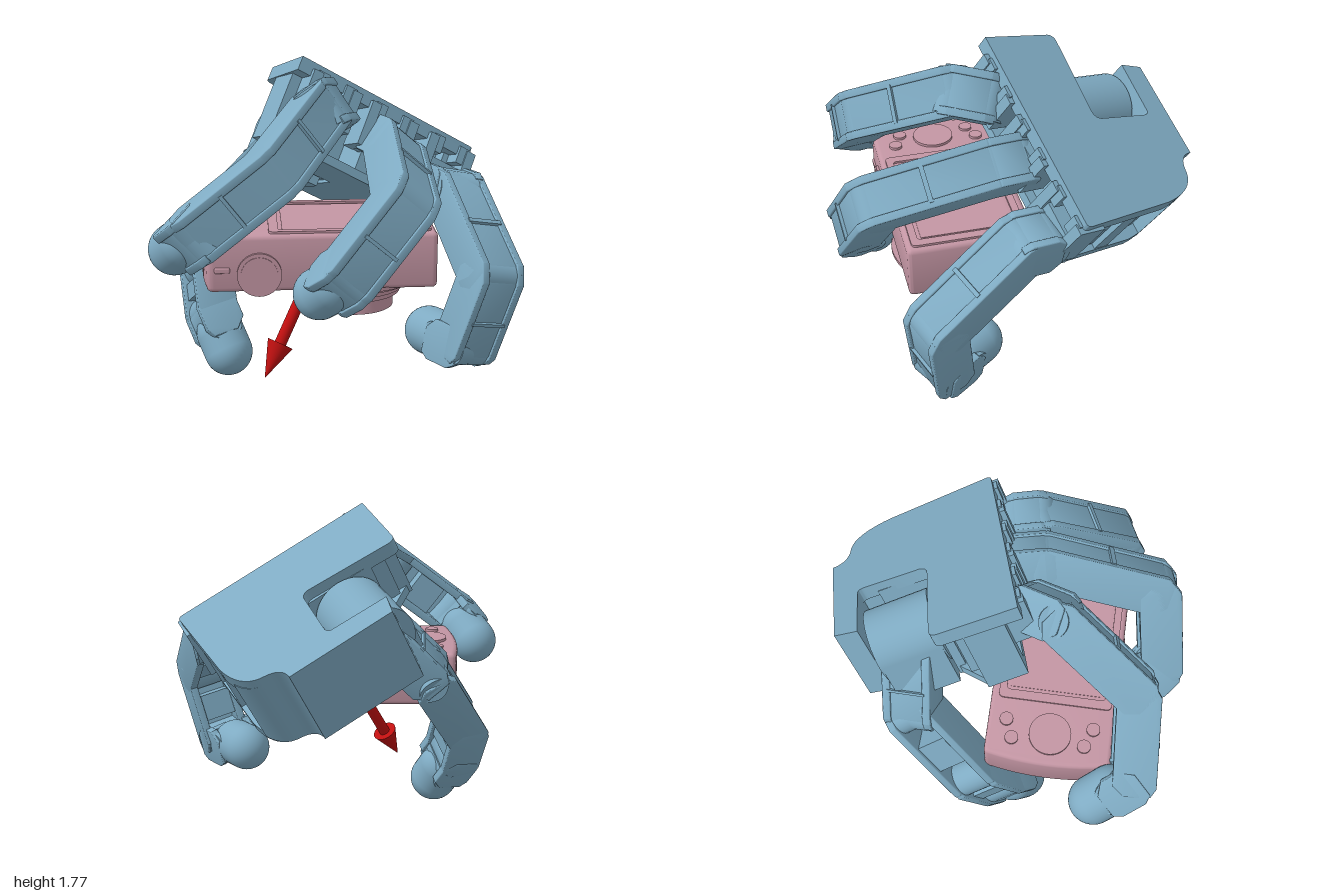
import * as THREE from 'three';
import { toCreasedNormals } from 'three/addons/utils/BufferGeometryUtils.js';
import { RoundedBoxGeometry } from 'three/addons/geometries/RoundedBoxGeometry.js';

const V = (x, y, z) => new THREE.Vector3(x, y, z);
const mat = (color) => new THREE.MeshStandardMaterial({ color, side: THREE.DoubleSide });
const BLUE = mat(0x7fabc3), PINK = mat(0xc496a4), RED = mat(0xc01010);

function add(parent, name, geo, material, x = 0, y = 0, z = 0) {
  const m = new THREE.Mesh(geo, material);
  m.name = name;
  m.position.set(x, y, z);
  parent.add(m);
  return m;
}

function group(parent, name) {
  const g = new THREE.Group();
  g.name = name;
  parent.add(g);
  return g;
}

// box given by its minimum and maximum corners
function span(parent, name, a, b, material = BLUE) {
  const geo = new THREE.BoxGeometry(b[0] - a[0], b[1] - a[1], b[2] - a[2]);
  return add(parent, name, geo, material, (a[0] + b[0]) / 2, (a[1] + b[1]) / 2, (a[2] + b[2]) / 2);
}

function extrude(shape, depth, bevel = 0) {
  const geo = new THREE.ExtrudeGeometry(shape, {
    depth: depth - 2 * bevel, bevelEnabled: bevel > 0, bevelSize: bevel, bevelOffset: -bevel,
    bevelThickness: bevel, bevelSegments: 3, curveSegments: 10,
  });
  geo.translate(0, 0, bevel);
  return toCreasedNormals(geo, 0.6);
}

function roundedRect(x0, y0, x1, y1, r) {
  const s = new THREE.Shape();
  s.moveTo(x0 + r, y0).lineTo(x1 - r, y0).quadraticCurveTo(x1, y0, x1, y0 + r);
  s.lineTo(x1, y1 - r).quadraticCurveTo(x1, y1, x1 - r, y1);
  s.lineTo(x0 + r, y1).quadraticCurveTo(x0, y1, x0, y1 - r);
  s.lineTo(x0, y0 + r).quadraticCurveTo(x0, y0, x0 + r, y0);
  return s;
}

// side profile of a link, cut back at the outer and inner corners
function linkProfile(z0, z1, y0, y1, cut) {
  return new THREE.Shape([[z0 + cut, y0], [z1 - cut, y0], [z1, y0 + cut], [z1, y1 - cut * 0.5],
    [z1 - cut * 0.8, y1], [z0 + cut * 0.8, y1], [z0, y1 - cut * 0.5], [z0, y0 + cut]]
    .map(([x, y]) => new THREE.Vector2(x, y)));
}

// hollow link from a to b: two cheeks, outer cover, motor block and hinge barrels
function link(parent, name, a, b, hinge, open = false) {
  const w = 0.27, t = 0.115, e = 0.06;
  const g = group(parent, name);
  const d = b.clone().sub(a), len = d.length();
  d.normalize();
  const hx = hinge.clone().addScaledVector(d, -hinge.dot(d)).normalize();
  g.quaternion.setFromRotationMatrix(new THREE.Matrix4().makeBasis(hx, d.clone().cross(hx), d));
  g.position.copy(a);
  const cheek = extrude(linkProfile(-e, len + e, -t, t, 0.06), 0.045, 0.006);
  cheek.rotateY(-Math.PI / 2);
  for (const x of [-w / 2 + 0.045, w / 2]) add(g, 'cheek', cheek, BLUE, x);
  if (!open) {
    const cover = extrude(linkProfile(-e + 0.008, len + e - 0.008, 0, t - 0.012, 0.06), w - 0.05);
    cover.rotateY(-Math.PI / 2);
    add(g, 'cover', cover, BLUE, w / 2 - 0.025);
    if (len > 0.3) span(g, 'coverRib', [-w / 2 + 0.03, t - 0.03, len * 0.52], [w / 2 - 0.03, t + 0.006, len * 0.56]);
  }
  span(g, 'motorBlock', [-w / 2 + 0.03, -t + 0.015, len * 0.32], [w / 2 - 0.03, t - 0.02, len * 0.68]);
  const barrel = new THREE.CylinderGeometry(0.1, 0.1, w - 0.03, 28);
  barrel.rotateZ(Math.PI / 2);
  for (const z of [0, len]) add(g, 'hingeBarrel', barrel, BLUE, 0, 0, z);
}

// chain of links ending in a domed pad
function finger(parent, name, pts, open) {
  const g = group(parent, name);
  const p = pts.map((q) => V(...q)), n = p.length;
  const dir = (i) => p[i + 1].clone().sub(p[i]);
  const hinge = dir(1).cross(dir(2)).normalize();
  for (let i = 0; i < n - 2; i++) link(g, 'phalanx', p[i], p[i + 1], hinge, open && i > 0);
  const last = dir(n - 2), len = last.length();
  const end = p[n - 2].clone().addScaledVector(last, 0.45);
  link(g, 'tipSocket', p[n - 2], end, hinge);
  const pad = new THREE.CapsuleGeometry(0.135, len * 0.45, 12, 32);
  const tip = add(g, 'fingerPad', pad, BLUE);
  tip.quaternion.setFromUnitVectors(V(0, 1, 0), last.clone().normalize());
  tip.position.copy(p[n - 1]).addScaledVector(last, -0.225);
}

// palm: local x runs across the knuckles, y to the wrist, z out of the back of the hand
function palm(parent) {
  const g = group(parent, 'palm');
  const u = V(0.838, -0.491, -0.237).normalize();
  const n = V(0.376, 0.836, -0.4);
  n.addScaledVector(u, -n.dot(u)).normalize();
  g.quaternion.setFromRotationMatrix(new THREE.Matrix4().makeBasis(u, n.clone().cross(u), n));
  g.position.set(-0.15, 1.78, 0.07);
  const D = 0.45;

  const rim = (s) => {
    s.lineTo(1.15, 0.62);
    s.bezierCurveTo(1.13, 0.76, 1.08, 0.86, 0.98, 0.87);
    s.quadraticCurveTo(0.89, 0.89, 0.89, 0.98);
    s.lineTo(0.3, 0.98);
  };
  const back = new THREE.Shape().moveTo(0, 0);
  back.lineTo(1.16, 0).quadraticCurveTo(1.19, 0, 1.185, 0.04);
  rim(back);
  back.lineTo(0.27, 0.85).lineTo(0.58, 0.84).quadraticCurveTo(0.61, 0.84, 0.61, 0.8);
  back.lineTo(0.59, 0.48).quadraticCurveTo(0.58, 0.44, 0.54, 0.44);
  back.lineTo(0.07, 0.47).quadraticCurveTo(0.02, 0.47, 0.02, 0.42);
  add(g, 'backPlate', extrude(back, 0.08), BLUE, 0, 0, -0.08);

  // inner plate and solid heel
  const inner = new THREE.Shape().moveTo(0.04, 0.1);
  inner.lineTo(1.17, 0.1);
  rim(inner);
  inner.lineTo(0.27, 0.85).lineTo(0.62, 0.84).lineTo(0.62, 0.46).lineTo(0.22, 0.46).lineTo(0.04, 0.32);
  add(g, 'innerPlate', extrude(inner, 0.05), BLUE, 0, 0, -D);
  const heel = new THREE.Shape().moveTo(0.62, 0.72);
  heel.lineTo(1.13, 0.72).bezierCurveTo(1.11, 0.8, 1.06, 0.86, 0.98, 0.87);
  heel.quadraticCurveTo(0.89, 0.89, 0.89, 0.98).lineTo(0.3, 0.98).lineTo(0.27, 0.85).lineTo(0.62, 0.84);
  add(g, 'heelBlock', extrude(heel, D - 0.06), BLUE, 0, 0, -D + 0.01);

  span(g, 'core', [0.6, 0.16, -D + 0.02], [0.98, 0.74, -0.05]);
  // outer side: front wall, recessed motor, pillar, open bay with motor
  span(g, 'sideWall', [1.06, 0.08, -D], [1.17, 0.17, -0.06]);
  add(g, 'sideMotor', new RoundedBoxGeometry(0.16, 0.2, 0.32, 3, 0.02), BLUE, 1.05, 0.26, -0.24);
  span(g, 'sideWall', [1.04, 0.36, -D], [1.155, 0.45, -0.06]);
  add(g, 'sideMotor', new RoundedBoxGeometry(0.16, 0.14, 0.28, 3, 0.03), BLUE, 1.01, 0.6, -0.24);
  // index side wall and motor
  span(g, 'indexWall', [0.02, 0.1, -D], [0.1, 0.32, -0.06]);
  span(g, 'indexMotor', [0.1, 0.18, -0.38], [0.42, 0.38, -0.06]);
  span(g, 'notchWall', [0.2, 0.41, -D], [0.62, 0.46, -0.06]);
  // knuckle mounts
  [[0.24, -0.16], [0.63, -0.18], [1.04, -0.22]].forEach(([x, z]) => {
    span(g, 'knuckleMount', [x - 0.1, -0.01, z - 0.1], [x + 0.1, 0.2, z + 0.06]);
    for (const s of [-1, 1]) {
      span(g, 'knuckleTab', [x + s * 0.13 - 0.03, -0.03, z - 0.12], [x + s * 0.13 + 0.03, 0.14, -0.04]);
      span(g, 'knuckleStep', [x + s * 0.09 - 0.035, -0.02, -0.13], [x + s * 0.09 + 0.035, 0.08, -0.03]);
    }
  });
  // thumb swivel drum filling the notch
  add(g, 'thumbDrum', new THREE.CylinderGeometry(0.2, 0.2, 0.36, 40), BLUE, 0.4, 0.65, -0.24);
  span(g, 'thumbDrumBlock', [0.2, 0.48, -0.5], [0.56, 0.82, -0.24]);
}

function disc(parent, name, r, h, x, y, z) {
  return add(parent, name, new THREE.CylinderGeometry(r, r, h, 40), PINK, x, y, z);
}

function heldCamera(parent) {
  const g = group(parent, 'heldCamera');
  const s = new THREE.Shape().moveTo(-0.65, -0.04);
  s.lineTo(0.48, -0.04).quadraticCurveTo(0.51, -0.04, 0.51, -0.01);
  s.lineTo(0.51, 0.62).quadraticCurveTo(0.51, 0.65, 0.48, 0.65);
  s.lineTo(-0.64, 0.65).quadraticCurveTo(-0.675, 0.65, -0.68, 0.62);
  s.quadraticCurveTo(-0.74, 0.3, -0.68, -0.01).quadraticCurveTo(-0.675, -0.04, -0.65, -0.04);
  const body = extrude(s, 0.3, 0.025);
  body.rotateX(Math.PI / 2);
  add(g, 'body', body, PINK, 0, 0.95, 0);

  // screen with raised frame
  const frame = roundedRect(-0.36, 0, 0.48, 0.62, 0.03);
  frame.holes.push(roundedRect(-0.31, 0.04, 0.43, 0.58, 0.02));
  const frameGeo = extrude(frame, 0.02);
  frameGeo.rotateX(Math.PI / 2);
  add(g, 'screenFrame', frameGeo, PINK, 0, 0.962, 0);
  span(g, 'screen', [-0.29, 0.945, 0.06], [0.41, 0.954, 0.56], PINK);

  // controls
  disc(g, 'dial', 0.115, 0.03, -0.535, 0.95, 0.305);
  for (const [x, z] of [[-0.58, 0.1], [-0.48, 0.06], [-0.58, 0.495], [-0.48, 0.535]]) {
    disc(g, 'button', 0.037, 0.03, x, 0.95, z);
  }
  disc(g, 'shutterButton', 0.115, 0.04, -0.41, 0.745, 0.645).rotation.x = Math.PI / 2;
  disc(g, 'shutterCap', 0.095, 0.04, -0.41, 0.745, 0.65).rotation.x = Math.PI / 2;
  add(g, 'powerSwitch', new RoundedBoxGeometry(0.08, 0.03, 0.02, 2, 0.008), PINK, -0.6, 0.77, 0.65);

  // stepped lens barrel with a recessed window
  const profile = [[0.37, 0.66], [0.37, 0.64], [0.31, 0.635], [0.31, 0.61], [0.27, 0.605], [0.27, 0.575],
    [0.25, 0.57], [0.25, 0.545], [0.215, 0.54], [0.215, 0.465], [0.12, 0.465], [0.12, 0.5], [0, 0.5]];
  const lens = new THREE.LatheGeometry(profile.map(([x, y]) => new THREE.Vector2(x, y)).reverse(), 48);
  add(g, 'lens', toCreasedNormals(lens, 0.6), PINK, 0.105, 0, 0.305);
  const win = roundedRect(-0.1, -0.08, 0.1, 0.08, 0.01);
  win.holes.push(roundedRect(-0.06, -0.045, 0.06, 0.045, 0.01));
  const winGeo = extrude(win, 0.02);
  winGeo.rotateX(Math.PI / 2);
  add(g, 'lensWindow', winGeo, PINK, 0.105, 0.5, 0.305);
}

function arrow(parent) {
  const g = group(parent, 'arrow');
  const a = V(-0.05, 0.8, 0.31), b = V(-0.39, 0.14, 0.57);
  const len = a.distanceTo(b), head = 0.2;
  add(g, 'arrowShaft', new THREE.CylinderGeometry(0.032, 0.032, len - head, 24), RED, 0, (len - head) / 2);
  add(g, 'arrowHead', new THREE.ConeGeometry(0.072, head, 32), RED, 0, len - head / 2);
  g.position.copy(a);
  g.quaternion.setFromUnitVectors(V(0, 1, 0), b.clone().sub(a).normalize());
}

export function createModel() {
  const model = new THREE.Group();
  model.name = 'robotHandHoldingCamera';
  palm(model);
  finger(model, 'indexFinger', [[-0.01, 1.49, 0.1], [-0.07, 1.52, 0.27], [-0.34, 1.29, 0.73], [-0.72, 1, 0.77], [-0.84, 0.87, 0.58]]);
  finger(model, 'middleFinger', [[0.31, 1.27, 0.01], [0.34, 1.28, 0.16], [0.32, 1.15, 0.79], [0.02, 0.79, 0.87], [-0.11, 0.67, 0.75]]);
  finger(model, 'outerFinger', [[0.66, 1.02, -0.03], [0.685, 1.03, 0.09], [0.81, 0.68, 0.57], [0.69, 0.27, 0.52], [0.53, 0.28, 0.29]]);
  finger(model, 'thumb', [[-0.25, 1.2, -0.48], [-0.5, 0.95, -0.45], [-0.71, 0.56, -0.09], [-0.68, 0.34, 0.05], [-0.585, 0.14, 0.17]], true);
  heldCamera(model);
  arrow(model);
  return model;
}
